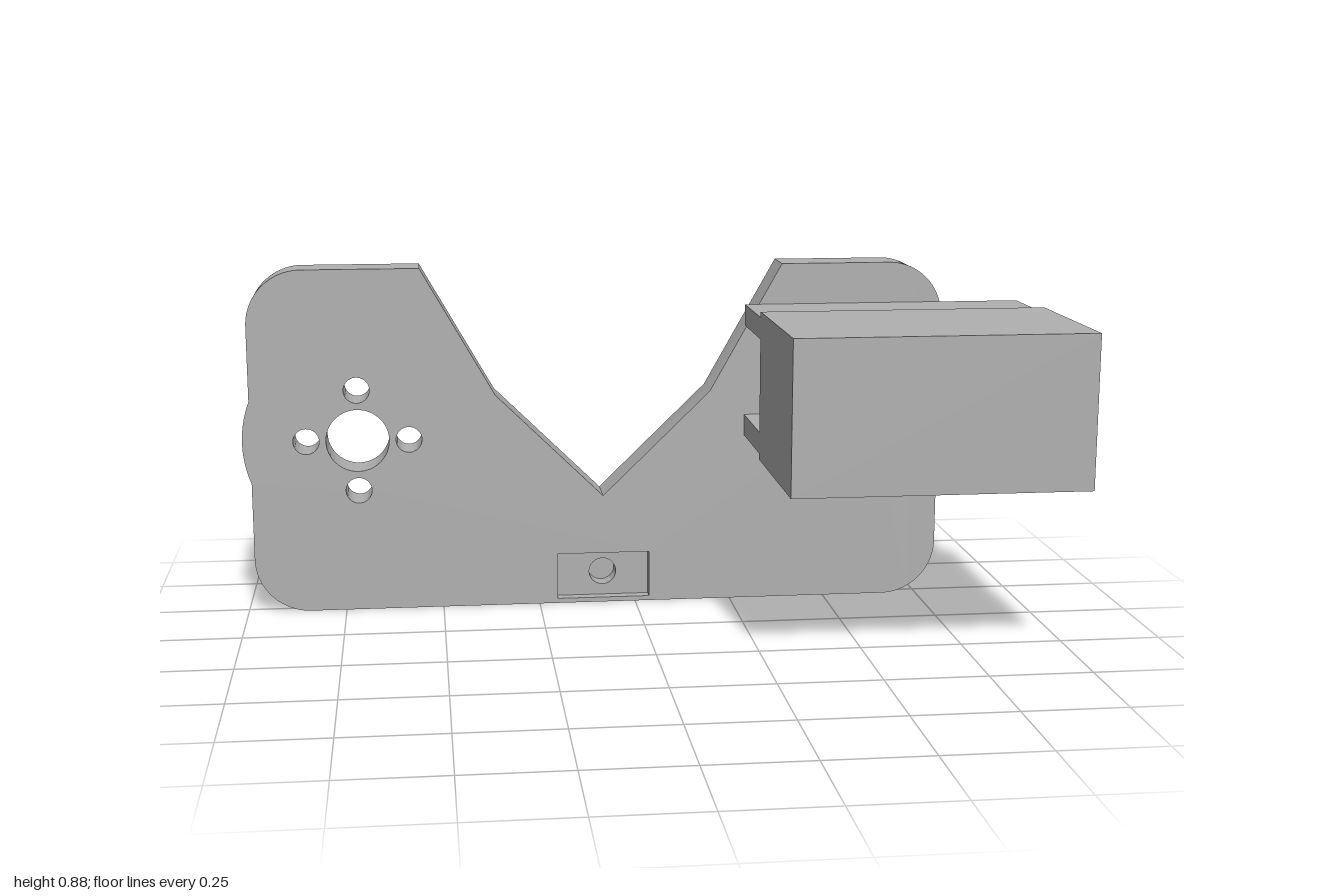
import * as THREE from 'three';
import { toCreasedNormals } from 'three/addons/utils/BufferGeometryUtils.js';

export function createModel() {
  const model = new THREE.Group();
  const grey = new THREE.MeshStandardMaterial({ color: 0xb0b0b0 });
  grey.name = 'plain grey';

  const add = (name, geometry, x = 0, y = 0, z = 0) => {
    const mesh = new THREE.Mesh(geometry, grey);
    mesh.name = name;
    mesh.position.set(x, y, z);
    model.add(mesh);
    return mesh;
  };

  const circle = (x, y, r) => new THREE.Path().absarc(x, y, r, 0, Math.PI * 2, true);

  const rect = (x0, x1, y0, y1, Type = THREE.Shape) => new Type([
    [x0, y0], [x1, y0], [x1, y1], [x0, y1],
  ].map(([x, y]) => new THREE.Vector2(x, y)));

  // Extrudes a shape from z0 to z1, smooth on curves and sharp on corners
  const slab = (shape, z0, z1) => {
    const g = new THREE.ExtrudeGeometry(shape, { depth: z1 - z0, bevelEnabled: false, curveSegments: 24 });
    g.translate(0, 0, z0);
    return toCreasedNormals(g, 0.5);
  };

  const back = -0.333, front = -0.223;
  const L = -0.98, R = 0.8, top = 0.883, r = 0.14;
  const hub = { x: -0.71, y: 0.445, r: 0.29 };

  // Notched mounting plate with rounded corners and a bulge beside the hub
  const outline = new THREE.Shape();
  const bulge = Math.acos((hub.x - L) / hub.r);
  outline.moveTo(L + r, 0);
  outline.lineTo(R - r, 0);
  outline.absarc(R - r, r, r, -Math.PI / 2, 0, false);
  outline.lineTo(R, top - r);
  outline.absarc(R - r, top - r, r, 0, Math.PI / 2, false);
  for (const [x, y] of [[0.38, top], [0.195, 0.555], [-0.083, 0.285], [-0.358, 0.555], [-0.545, top], [L + r, top]]) {
    outline.lineTo(x, y);
  }
  outline.absarc(L + r, top - r, r, Math.PI / 2, Math.PI, false);
  outline.absarc(hub.x, hub.y, hub.r, Math.PI - bulge, Math.PI + bulge, false);
  outline.lineTo(L, r);
  outline.absarc(L + r, r, r, Math.PI, Math.PI * 1.5, false);

  // Hub hole with four screw holes, and the large hole behind the block
  outline.holes.push(circle(hub.x, hub.y, 0.08), circle(0.55, 0.607, 0.105));
  for (const [dx, dy] of [[1, 0], [-1, 0], [0, 1], [0, -1]]) {
    outline.holes.push(circle(hub.x + dx * 0.13, hub.y + dy * 0.13, 0.033));
  }
  const pocket = [-0.203, 0.037, 0.012, 0.132];
  outline.holes.push(rect(...pocket, THREE.Path));
  add('mountingPlate', slab(outline, back, front));

  // Shallow pocket floor with a blind hole
  const floor = rect(...pocket);
  floor.holes.push(circle(-0.083, 0.075, 0.035));
  add('pocketFloor', slab(floor, back + 0.03, front - 0.03));
  add('pocketBacking', slab(rect(...pocket), back, back + 0.03));

  // Pin on the back of the plate
  const pin = add('backPin', new THREE.CylinderGeometry(0.046, 0.046, 0.116, 40), -0.515, 0.608, -0.391);
  pin.rotation.x = Math.PI / 2;

  // Block in front of the plate, with two blind holes in its back
  const x0 = 0.285, x1 = 1, cx = (x0 + x1) / 2;
  const blockBack = rect(x0, x1, 0.423, 0.793);
  for (const s of [-1, 1]) blockBack.holes.push(circle(cx + s * 0.263, 0.607, 0.033));
  add('blockBack', slab(blockBack, 0.014, 0.1));
  add('blockBody', slab(rect(x0, x1, 0.423, 0.793), 0.1, 0.449));

  // Two flat arms join the block to the plate
  for (const [name, y] of [['lowerArm', 0.465], ['upperArm', 0.752]]) {
    add(name, new THREE.BoxGeometry(x1 - x0, 0.054, 0.237), cx, y, -0.1045);
  }

  return model;
}
